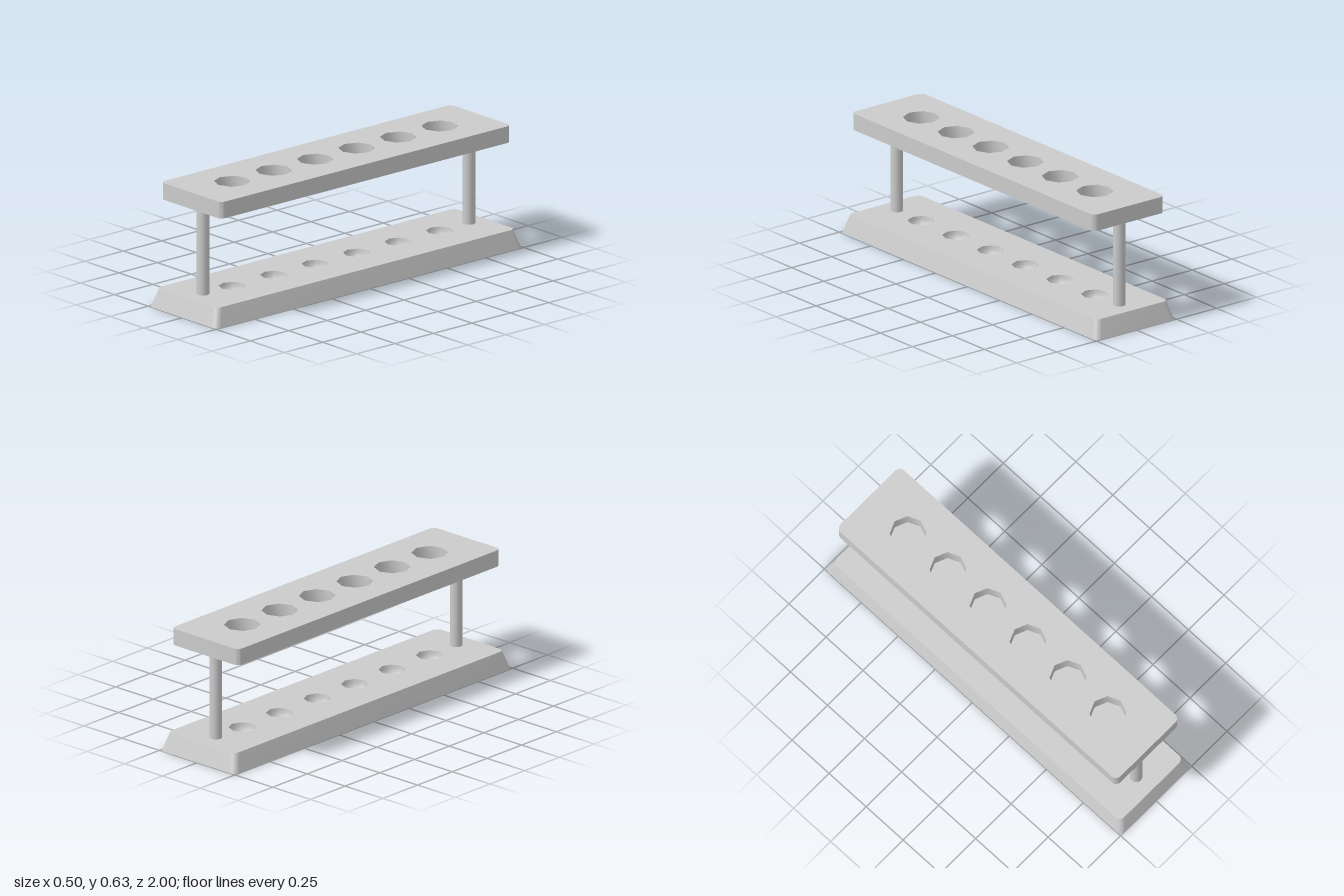
import * as THREE from 'three';
import { toCreasedNormals } from 'three/addons/utils/BufferGeometryUtils.js';

const HOLE_Z = [-0.675, -0.405, -0.135, 0.135, 0.405, 0.675];
const BASE_H = 0.095, BOARD_Y = 0.545, BOARD_H = 0.085;
const WELL_R = 0.067, HOLE_R = 0.09, POST_R = 0.031, POST_Z = 0.865;

// Rounded rectangle footprint, hx and hz are half sizes
function footprint(hx, hz, r = 0.03) {
  const s = new THREE.Shape();
  [[1, -1], [1, 1], [-1, 1], [-1, -1]].forEach(([sx, sz], i) => {
    const a = (i - 1) * Math.PI / 2;
    s.absarc(sx * (hx - r), sz * (hz - r), r, a, a + Math.PI / 2, false);
  });
  s.closePath();
  return s;
}

// Row of eight-sided holes
function addHoles(shape, r) {
  for (const z of HOLE_Z) {
    const pts = [];
    for (let i = 0; i < 8; i++) {
      const a = -i * Math.PI / 4;
      pts.push(new THREE.Vector2(r * Math.cos(a), z + r * Math.sin(a)));
    }
    shape.holes.push(new THREE.Path(pts).closePath());
  }
  return shape;
}

// Sloping wall between two footprints with equal point counts
function skirt(lower, upper, height) {
  const a = lower.getPoints(5), b = upper.getPoints(5), pos = [];
  for (let i = 0; i < a.length; i++) {
    const j = (i + 1) % a.length;
    const p = [a[i].x, 0, -a[i].y], q = [a[j].x, 0, -a[j].y];
    const u = [b[j].x, height, -b[j].y], v = [b[i].x, height, -b[i].y];
    pos.push(...p, ...q, ...u, ...p, ...u, ...v);
  }
  const g = new THREE.BufferGeometry();
  g.setAttribute('position', new THREE.Float32BufferAttribute(pos, 3));
  return toCreasedNormals(g, 0.9);
}

export function createModel() {
  const model = new THREE.Group();
  model.name = 'testTubeRack';
  const material = new THREE.MeshStandardMaterial({ color: 0xcccccc });
  const add = (parent, name, geometry, y = 0, z = 0) => {
    const mesh = new THREE.Mesh(geometry, material);
    mesh.name = name;
    mesh.position.set(0, y, z);
    parent.add(mesh);
  };

  // Tapered base with shallow round-bottomed wells
  const base = new THREE.Group();
  base.name = 'base';
  model.add(base);
  const foot = footprint(0.25, 1), deck = footprint(0.223, 0.97);
  add(base, 'baseSides', skirt(foot, deck, BASE_H));
  add(base, 'baseUnderside', new THREE.ShapeGeometry(foot, 5).rotateX(Math.PI / 2));
  add(base, 'baseTop', new THREE.ShapeGeometry(addHoles(deck, WELL_R), 5).rotateX(-Math.PI / 2), BASE_H);
  const bowl = [];
  for (let i = 0; i <= 6; i++) {
    const a = i / 6 * Math.PI / 2;
    bowl.push(new THREE.Vector2(i === 6 ? 0 : WELL_R * Math.cos(a), -WELL_R * Math.sin(a)));
  }
  const well = new THREE.LatheGeometry(bowl, 8);
  HOLE_Z.forEach((z, i) => add(base, `well${i + 1}`, well, BASE_H, z));

  // Upper board with through holes
  const board = new THREE.ExtrudeGeometry(addHoles(footprint(0.223, 0.945), HOLE_R),
    { depth: BOARD_H, bevelEnabled: false, curveSegments: 5 }).rotateX(-Math.PI / 2);
  add(model, 'upperBoard', toCreasedNormals(board, 0.9), BOARD_Y);

  // Posts joining base and board
  const postH = BOARD_Y - BASE_H;
  const post = new THREE.CylinderGeometry(POST_R, POST_R, postH, 16, 1, true);
  add(model, 'frontPost', post, BASE_H + postH / 2, POST_Z);
  add(model, 'backPost', post, BASE_H + postH / 2, -POST_Z);

  return model;
}
